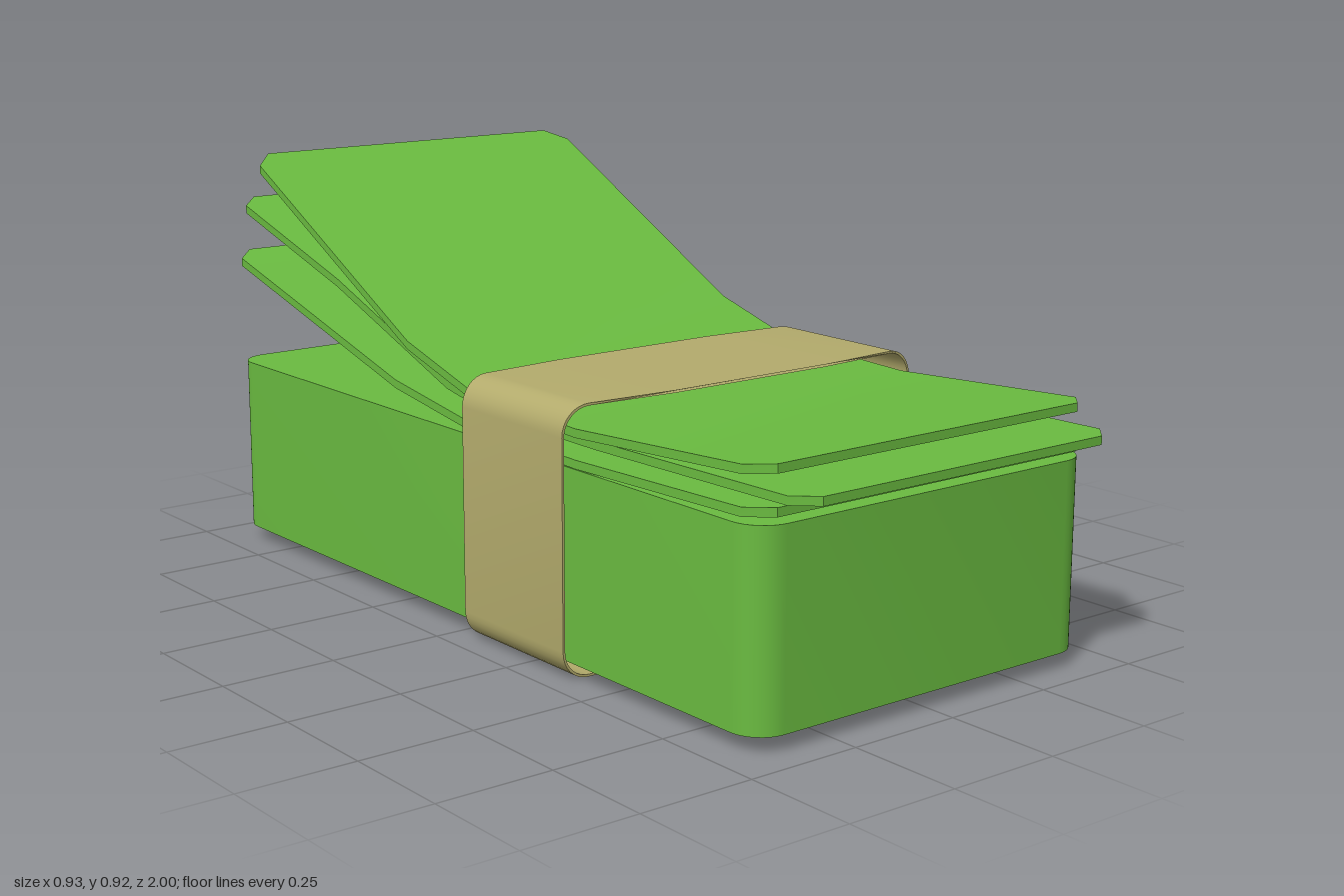
import * as THREE from 'three';
import { toCreasedNormals } from 'three/addons/utils/BufferGeometryUtils.js';

const green = new THREE.MeshStandardMaterial({ color: 0x6abb40 });
const tan = new THREE.MeshStandardMaterial({ color: 0xb3ab6c });

// Rounded rectangle outline; extra points on the top edge let it be reshaped
function roundedRect(x0, y0, x1, y1, r, Type = THREE.Shape) {
  const s = new Type();
  s.moveTo(x0 + r, y0);
  s.lineTo(x1 - r, y0);
  s.absarc(x1 - r, y0 + r, r, -Math.PI / 2, 0);
  s.absarc(x1 - r, y1 - r, r, 0, Math.PI / 2);
  s.lineTo(0.2, y1);
  s.lineTo(-0.2, y1);
  s.absarc(x0 + r, y1 - r, r, Math.PI / 2, Math.PI);
  s.absarc(x0 + r, y0 + r, r, Math.PI, Math.PI * 1.5);
  s.closePath();
  return s;
}

function addMesh(group, name, geometry, material) {
  const mesh = new THREE.Mesh(geometry, material);
  mesh.name = name;
  group.add(mesh);
}

// Thin sheet following a [z, y] path from front to back, with clipped corners
function sheet(path, xMin, xMax, thickness, clip = 0.045) {
  const curve = path.map(([z, y]) => new THREE.Vector2(z, y));
  const last = curve.length - 1;
  const cut = (end, next) => end.clone().add(next.clone().sub(end).setLength(clip));
  const rows = [curve[0], cut(curve[0], curve[1]), ...curve.slice(1, last),
    cut(curve[last], curve[last - 1]), curve[last]];
  const n = rows.length - 1;
  const geo = new THREE.BoxGeometry(1, 1, 1, 1, 1, n);
  const p = geo.attributes.position;
  for (let i = 0; i < p.count; i++) {
    const k = Math.round((0.5 - p.getZ(i)) * n);
    const inset = k === 0 || k === n ? clip : 0;
    const x = p.getX(i) < 0 ? xMin + inset : xMax - inset;
    p.setXYZ(i, x, rows[k].y + p.getY(i) * thickness, rows[k].x);
  }
  geo.computeVertexNormals();
  return geo;
}

export function createModel() {
  const group = new THREE.Group();

  // Solid block of stacked paper
  const block = new THREE.ExtrudeGeometry(roundedRect(-0.436, -0.935, 0.436, 0.935, 0.07),
    { depth: 0.397, bevelEnabled: false, curveSegments: 4 });
  block.rotateX(-Math.PI / 2).translate(0, 0.034, 0);
  addMesh(group, 'paperStack', toCreasedNormals(block, 0.7), green);

  // Loose sheets fanning up on top
  addMesh(group, 'lowerSheet', sheet([[0.935, 0.455], [0.4, 0.441], [0.05, 0.447],
    [-0.24, 0.489], [-0.938, 0.677]], -0.436, 0.434, 0.018), green);
  addMesh(group, 'middleSheet', sheet([[1, 0.481], [0.4, 0.471], [0.05, 0.473],
    [-0.12, 0.503], [-0.55, 0.658], [-1, 0.79]], -0.386, 0.434, 0.018), green);
  addMesh(group, 'upperSheet', sheet([[0.935, 0.535], [0.4, 0.503], [0.05, 0.514],
    [-0.19, 0.581], [-0.835, 0.912]], -0.436, 0.434, 0.018), green);

  // Paper band, its top face slightly wider in the middle
  const outline = roundedRect(-0.464, 0.002, 0.464, 0.558, 0.062);
  outline.holes.push(roundedRect(-0.459, 0.007, 0.459, 0.553, 0.058, THREE.Path));
  const band = new THREE.ExtrudeGeometry(outline, { depth: 0.34, bevelEnabled: false, curveSegments: 4 });
  band.translate(0, 0, -0.17);
  const p = band.attributes.position;
  for (let i = 0; i < p.count; i++) {
    if (p.getY(i) < 0.49) continue;
    const bulge = THREE.MathUtils.clamp((0.46 - Math.abs(p.getX(i))) / 0.26, 0, 1);
    p.setZ(i, p.getZ(i) * (1 + 0.12 * bulge));
  }
  band.translate(0, 0, 0.224);
  addMesh(group, 'band', toCreasedNormals(band, 0.7), tan);

  return group;
}
